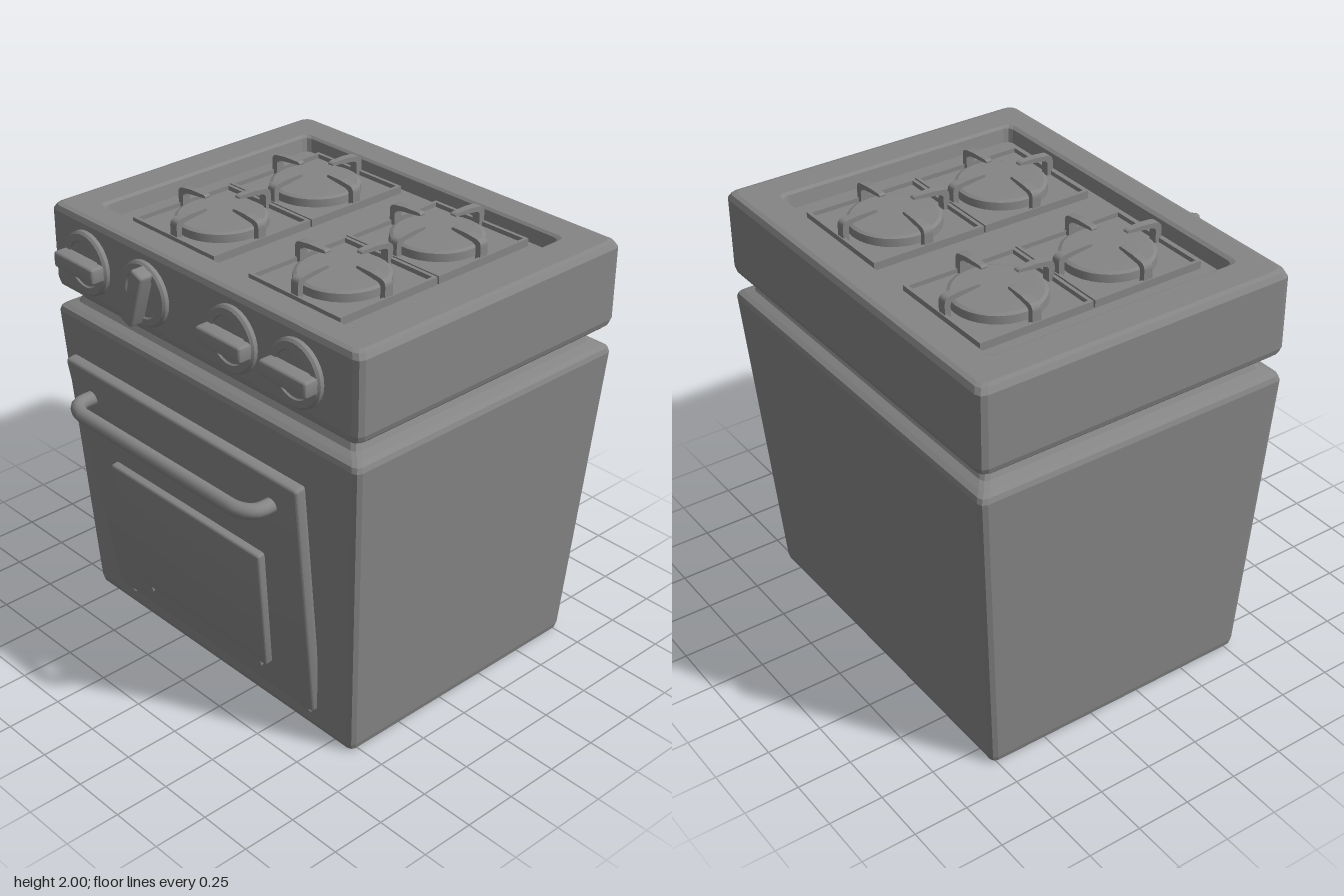
import * as THREE from 'three';
import { toCreasedNormals } from 'three/addons/utils/BufferGeometryUtils.js';
import { RoundedBoxGeometry } from 'three/addons/geometries/RoundedBoxGeometry.js';

const darkGrey = new THREE.MeshStandardMaterial({ color: 0x858585 });

function add(parent, name, geometry, x = 0, y = 0, z = 0) {
  const mesh = new THREE.Mesh(geometry, darkGrey);
  mesh.name = name;
  mesh.position.set(x, y, z);
  parent.add(mesh);
  return mesh;
}

// Rounded slab between two x and y limits, narrowing in z towards its bottom
function slab(parent, name, x0, x1, y0, y1, topHalf, bottomHalf, radius) {
  const h = y1 - y0;
  const g = new RoundedBoxGeometry(x1 - x0, h, topHalf * 2, 2, radius);
  const p = g.attributes.position;
  for (let i = 0; i < p.count; i++) {
    const t = p.getY(i) / h + 0.5;
    p.setZ(i, p.getZ(i) * THREE.MathUtils.lerp(bottomHalf / topHalf, 1, t));
  }
  return add(parent, name, toCreasedNormals(g, 0.3), (x0 + x1) / 2, (y0 + y1) / 2, 0);
}

// Closed shell through rounded rectangles: [y, x min, x max, half depth, corner radius]
function loft(sections) {
  const steps = 2, n = 4 * (steps + 1), pos = [], index = [];
  for (const [y, x0, x1, hz, r] of sections) {
    for (let i = 0; i < n; i++) {
      const corner = Math.floor(i / (steps + 1));
      const a = (corner + (i % (steps + 1)) / steps) * Math.PI / 2;
      const cx = corner === 0 || corner === 3 ? x1 - r : x0 + r;
      const cz = corner < 2 ? -hz + r : hz - r;
      pos.push(cx + r * Math.cos(a), y, cz - r * Math.sin(a));
    }
  }
  const top = (sections.length - 1) * n;
  for (let s = 0; s < top; s += n) {
    for (let i = 0; i < n; i++) {
      const a = s + i, b = s + (i + 1) % n;
      index.push(a, b, b + n, a, b + n, a + n);
    }
  }
  for (let i = 1; i < n - 1; i++) {
    index.push(0, i + 1, i, top, top + i, top + i + 1);
  }
  const g = new THREE.BufferGeometry();
  g.setAttribute('position', new THREE.Float32BufferAttribute(pos, 3));
  g.setIndex(index);
  return toCreasedNormals(g, 0.1);
}

// Square burner tray with frame, burner and four bent prongs
function makeBurner() {
  const burner = new THREE.Group();
  burner.name = 'burner';
  add(burner, 'tray', new THREE.BoxGeometry(0.52, 0.02, 0.52), 0, 1.89, 0);

  const square = (P, h) => new P([[-h, -h], [h, -h], [h, h], [-h, h]].map(p => new THREE.Vector2(...p)));
  const outline = square(THREE.Shape, 0.266);
  outline.holes.push(square(THREE.Path, 0.25));
  const frame = new THREE.ExtrudeGeometry(outline, { depth: 0.04, bevelEnabled: false });
  add(burner, 'trayFrame', frame.rotateX(-Math.PI / 2), 0, 1.88, 0);

  const profile = [[0.203, 0], [0.2, 0.035], [0.185, 0.042], [0, 0.044]];
  const cap = new THREE.LatheGeometry(profile.map(p => new THREE.Vector2(...p)), 32);
  add(burner, 'burnerCap', toCreasedNormals(cap, 0.3), 0, 1.9, 0);

  const s = new THREE.Shape();
  s.moveTo(0.26, 1.9);
  s.lineTo(0.26, 1.965);
  s.quadraticCurveTo(0.26, 1.99, 0.235, 1.994);
  s.lineTo(0.18, 2);
  s.lineTo(0.1, 2);
  s.quadraticCurveTo(0.085, 1.995, 0.09, 1.987);
  s.lineTo(0.21, 1.975);
  s.quadraticCurveTo(0.232, 1.97, 0.232, 1.955);
  s.lineTo(0.232, 1.9);
  const prong = new THREE.ExtrudeGeometry(s, { depth: 0.04, bevelEnabled: false, curveSegments: 5 });
  prong.translate(0, 0, -0.02);
  // Narrow the prong towards its inner tip
  const p = prong.attributes.position;
  for (let i = 0; i < p.count; i++) {
    p.setZ(i, p.getZ(i) * THREE.MathUtils.mapLinear(p.getX(i), 0.085, 0.26, 0.7, 1.05));
  }
  for (let i = 0; i < 4; i++) {
    add(burner, 'prong', prong).rotation.y = i * Math.PI / 2;
  }
  return burner;
}

// Dial on the front panel, with a grip bar turned by an angle
function makeKnob(z, turn) {
  const knob = new THREE.Group();
  knob.name = 'knob';
  knob.position.set(-0.62, 1.755, z);
  knob.rotation.x = turn;
  const profile = [[0, -0.02], [0.145, -0.02], [0.145, 0.018], [0.135, 0.028], [0.105, 0.03], [0.1, 0.022], [0, 0.022]];
  const dial = new THREE.LatheGeometry(profile.map(p => new THREE.Vector2(...p)), 32);
  add(knob, 'dial', toCreasedNormals(dial.rotateZ(Math.PI / 2), 0.3));
  const grip = new RoundedBoxGeometry(0.08, 0.074, 0.27, 2, 0.015);
  add(knob, 'grip', toCreasedNormals(grip, 0.3), -0.05, 0, 0);
  return knob;
}

export function createModel() {
  const stove = new THREE.Group();
  stove.name = 'stove';

  // Tapered body, narrow neck and overhanging top with a sunken cooking surface
  add(stove, 'body', loft([
    [0, -0.52, 0.755, 0.845, 0.02],
    [0.01, -0.54, 0.77, 0.86, 0.025],
    [0.035, -0.548, 0.778, 0.866, 0.03],
    [1.44, -0.622, 0.872, 0.952, 0.03],
    [1.462, -0.615, 0.865, 0.945, 0.03],
    [1.475, -0.595, 0.845, 0.925, 0.03],
    [1.49, -0.565, 0.815, 0.885, 0.03],
    [1.515, -0.552, 0.802, 0.872, 0.03],
    [1.54, -0.56, 0.81, 0.88, 0.03],
    [1.556, -0.59, 0.84, 0.925, 0.03],
    [1.575, -0.615, 0.865, 0.945, 0.035],
    [1.6, -0.62, 0.872, 0.952, 0.035],
    [1.925, -0.62, 0.872, 0.952, 0.035],
    [1.948, -0.61, 0.86, 0.938, 0.035],
    [1.955, -0.59, 0.84, 0.918, 0.03],
    [1.955, -0.49, 0.712, 0.782, 0.03],
    [1.945, -0.474, 0.7, 0.768, 0.03],
    [1.885, -0.464, 0.69, 0.756, 0.03],
  ]));

  for (const x of [-0.15, 0.39]) {
    for (const z of [-0.375, 0.37]) {
      const burner = makeBurner();
      burner.position.set(x, 0, z);
      stove.add(burner);
    }
  }

  [[-0.692, 0], [-0.3, Math.PI / 2 - 0.33], [0.245, 0], [0.622, 0]]
    .forEach(([z, turn]) => stove.add(makeKnob(z, -turn)));

  // Oven door, ajar and hinged at its bottom edge
  const door = new THREE.Group();
  door.name = 'door';
  door.position.set(-0.575, 0.09, 0);
  door.rotation.z = 0.138;
  slab(door, 'doorPanel', 0, 0.06, 0.02, 1.245, 0.742, 0.66, 0.018);
  slab(door, 'windowPanel', -0.038, 0.01, 0.175, 0.81, 0.49, 0.43, 0.015);
  for (const side of [-1, 1]) {
    const hinge = new THREE.CylinderGeometry(0.026, 0.026, 0.06, 16).rotateX(Math.PI / 2);
    add(door, 'doorHinge', toCreasedNormals(hinge, 0.5), 0.03, 0.022, side * 0.6);
    const clip = new THREE.CylinderGeometry(0.025, 0.025, 0.045, 16).rotateZ(Math.PI / 2);
    add(door, 'windowClip', toCreasedNormals(clip, 0.5), -0.012, 0.165, side * 0.37);
  }
  stove.add(door);

  // Bent tube handle
  const path = new THREE.CurvePath();
  const v = (x, z) => new THREE.Vector3(x, 1.185, z);
  path.add(new THREE.LineCurve3(v(-0.7, -0.58), v(-0.78, -0.58)));
  path.add(new THREE.QuadraticBezierCurve3(v(-0.78, -0.58), v(-0.835, -0.57), v(-0.85, -0.49)));
  path.add(new THREE.LineCurve3(v(-0.85, -0.49), v(-0.85, 0.49)));
  path.add(new THREE.QuadraticBezierCurve3(v(-0.85, 0.49), v(-0.835, 0.57), v(-0.78, 0.58)));
  path.add(new THREE.LineCurve3(v(-0.78, 0.58), v(-0.7, 0.58)));
  add(stove, 'handle', new THREE.TubeGeometry(path, 60, 0.033, 14));

  return stove;
}
